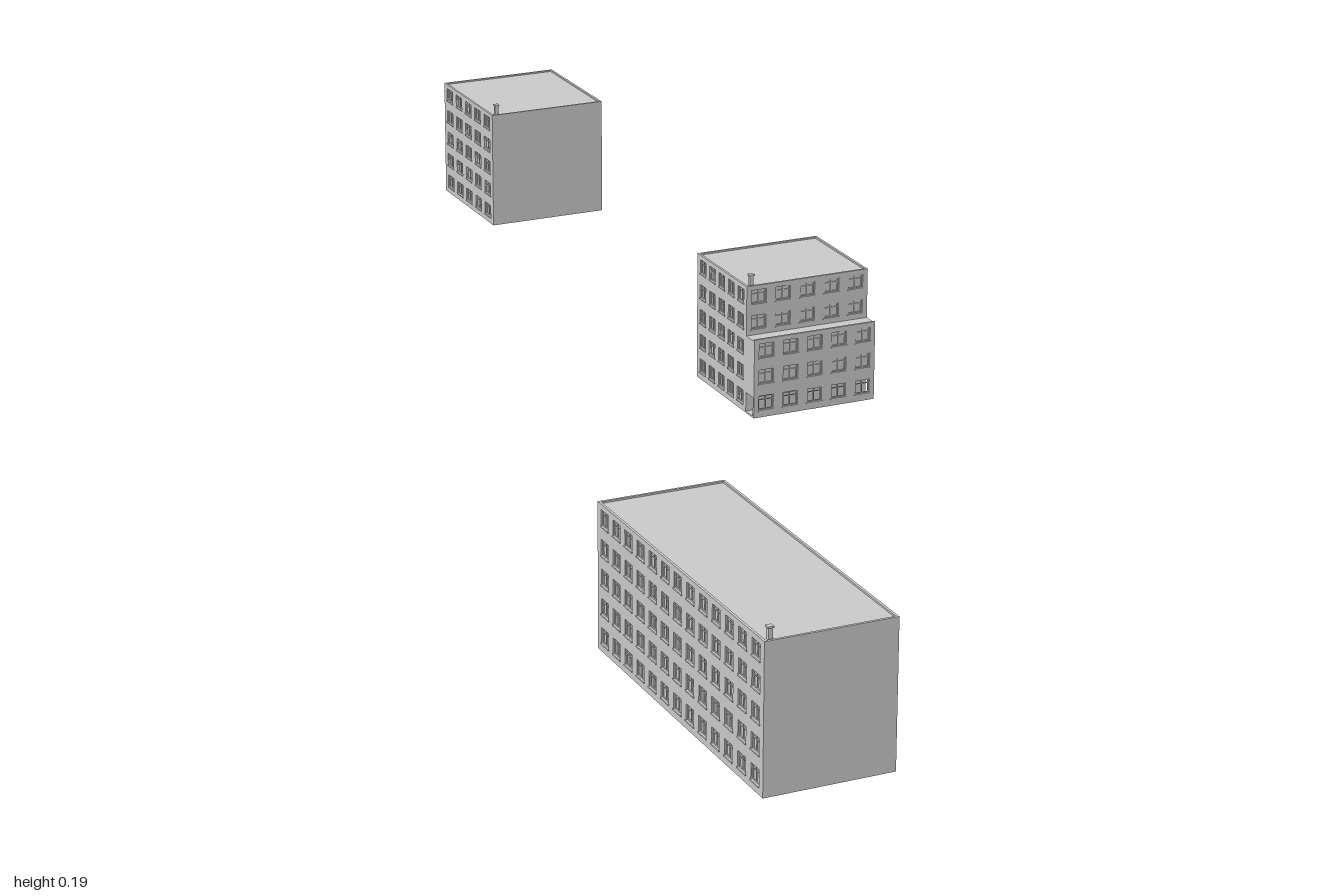
import * as THREE from 'three';
import { mergeGeometries } from 'three/addons/utils/BufferGeometryUtils.js';

const grey = new THREE.MeshStandardMaterial({ color: 0xcccccc });
const T = 0.003; // wall thickness, and so the depth of window reveals

const named = (geo, name) => {
  const mesh = new THREE.Mesh(geo, grey);
  mesh.name = name;
  return mesh;
};

// Box given by its limits on each axis
const box = (x0, x1, y0, y1, z0, z1) =>
  new THREE.BoxGeometry(x1 - x0, y1 - y0, z1 - z0)
    .translate((x0 + x1) / 2, (y0 + y1) / 2, (z0 + z1) / 2);

const hole = (shape, x0, x1, y0, y1) => {
  const p = new THREE.Path();
  p.moveTo(x0, y0).lineTo(x0, y1).lineTo(x1, y1).lineTo(x1, y0).closePath();
  shape.holes.push(p);
};

// Wall facing +z, centred on x, inner face at z = 0, with a grid of windows.
// rows lists the floors that have windows; door replaces the middle ground window.
function facade(name, w, h, { cols = 0, rows = [], floors = 5, door = false, base = 0 } = {}) {
  const group = new THREE.Group();
  group.name = name;
  const shape = new THREE.Shape();
  shape.moveTo(-w / 2, 0).lineTo(w / 2, 0).lineTo(w / 2, h).lineTo(-w / 2, h).closePath();
  const fh = (h - base) / floors, pitch = w / Math.max(cols, 1);
  const frames = [], sills = [];
  for (const r of rows) {
    for (let c = 0; c < cols; c++) {
      const x = (c + 0.5) * pitch - w / 2;
      if (door && r === 0 && c === Math.floor(cols / 2)) {
        hole(shape, x - 0.006, x + 0.006, 0.003, 0.024);
        continue;
      }
      const y0 = base + r * fh + fh * 0.28, y1 = base + r * fh + fh * 0.82;
      const hw = pitch * 0.3;
      hole(shape, x - hw, x + hw, y0, y1);
      // Frame, mullion and transom set back in the opening
      const b = 0.0007, d = 0.0014;
      frames.push(
        box(x - hw, x - hw + 2 * b, y0, y1, 0, d), box(x + hw - 2 * b, x + hw, y0, y1, 0, d),
        box(x - b, x + b, y0, y1, 0, d),
        box(x - hw, x + hw, y0, y0 + 2 * b, 0, d), box(x - hw, x + hw, y1 - 2 * b, y1, 0, d),
        box(x - hw, x + hw, y1 - 0.006, y1 - 0.005, 0, d));
      sills.push(box(x - hw - 0.001, x + hw + 0.001, y0 - 0.0016, y0, 0.001, T + 0.001));
    }
  }
  group.add(named(new THREE.ExtrudeGeometry(shape, { depth: T, bevelEnabled: false }), 'wall'));
  if (frames.length) {
    group.add(named(mergeGeometries(frames), 'windowFrames'));
    group.add(named(mergeGeometries(sills), 'windowSills'));
  }
  if (door) {
    const x = (Math.floor(cols / 2) + 0.5) * pitch - w / 2;
    group.add(named(box(x - 0.0004, x + 0.0004, 0.003, 0.024, 0, 0.0012), 'doorJoint'));
    group.add(named(box(x - 0.008, x + 0.008, 0, 0.003, 0, T + 0.003), 'doorstep'));
  }
  return group;
}

// Flat-roofed block; sides holds the window layout of each face
function block(name, [x0, x1], [z0, z1], h, sides) {
  const group = new THREE.Group();
  group.name = name;
  const w = x1 - x0, d = z1 - z0, cx = (x0 + x1) / 2, cz = (z0 + z1) / 2;
  group.add(named(box(x0 + T, x1 - T, 0, h - 0.002, z0 + T, z1 - T), 'coreAndRoof'));

  const place = (key, width, x, z, turn) => {
    const f = facade(key + 'Facade', width, h, sides[key]);
    f.position.set(x, 0, z);
    f.rotation.y = turn;
    group.add(f);
  };
  place('front', w, cx, z1 - T, 0);
  place('back', w, cx, z0 + T, Math.PI);
  place('left', d - 2 * T, x1 - T, cz, Math.PI / 2);
  place('right', d - 2 * T, x0 + T, cz, -Math.PI / 2);

  // Chimney with a cap in the front corner
  const kx = x0 + 0.0095, kz = z1 - 0.008;
  group.add(named(mergeGeometries([
    box(kx - 0.0025, kx + 0.0025, h - 0.003, h + 0.011, kz - 0.0025, kz + 0.0025),
    box(kx - 0.0035, kx + 0.0035, h + 0.011, h + 0.013, kz - 0.0035, kz + 0.0035),
  ]), 'chimney'));
  return group;
}

export function createModel() {
  const model = new THREE.Group();
  model.name = 'apartmentBlocks';
  const all = [0, 1, 2, 3, 4], top = [3, 4];

  model.add(block('longBlock', [-0.318, -0.166], [0.59, 1], 0.173, {
    left: { cols: 13, rows: all, door: true },
    right: { cols: 13, rows: all },
  }));

  const stepped = block('steppedBlock', [0.145, 0.314], [-0.14, 0.004], 0.167, {
    front: { cols: 5, rows: top },
    left: { cols: 5, rows: all, door: true },
    right: { cols: 5, rows: all },
  });
  model.add(stepped);

  // Three-storey projection: upper floors over an arcade open at both ends
  const step = new THREE.Group();
  step.name = 'frontProjection';
  step.add(named(box(0.145, 0.314, 0.027, 0.102, 0.004, 0.027 - T), 'upperFloors'));
  step.add(named(box(0.145, 0.314, 0, 0.002, 0.004, 0.027 - T), 'arcadeFloor'));
  const front = facade('frontFacade', 0.169, 0.104, { cols: 5, rows: [0, 1, 2], floors: 3 });
  front.position.set(0.2295, 0, 0.027 - T);
  step.add(front);
  stepped.add(step);

  model.add(block('squareBlock', [0.145, 0.314], [-1, -0.82], 0.163, {
    back: { cols: 6, rows: top },
    left: { cols: 5, rows: all, door: true },
    right: { cols: 5, rows: all },
  }));
  return model;
}
